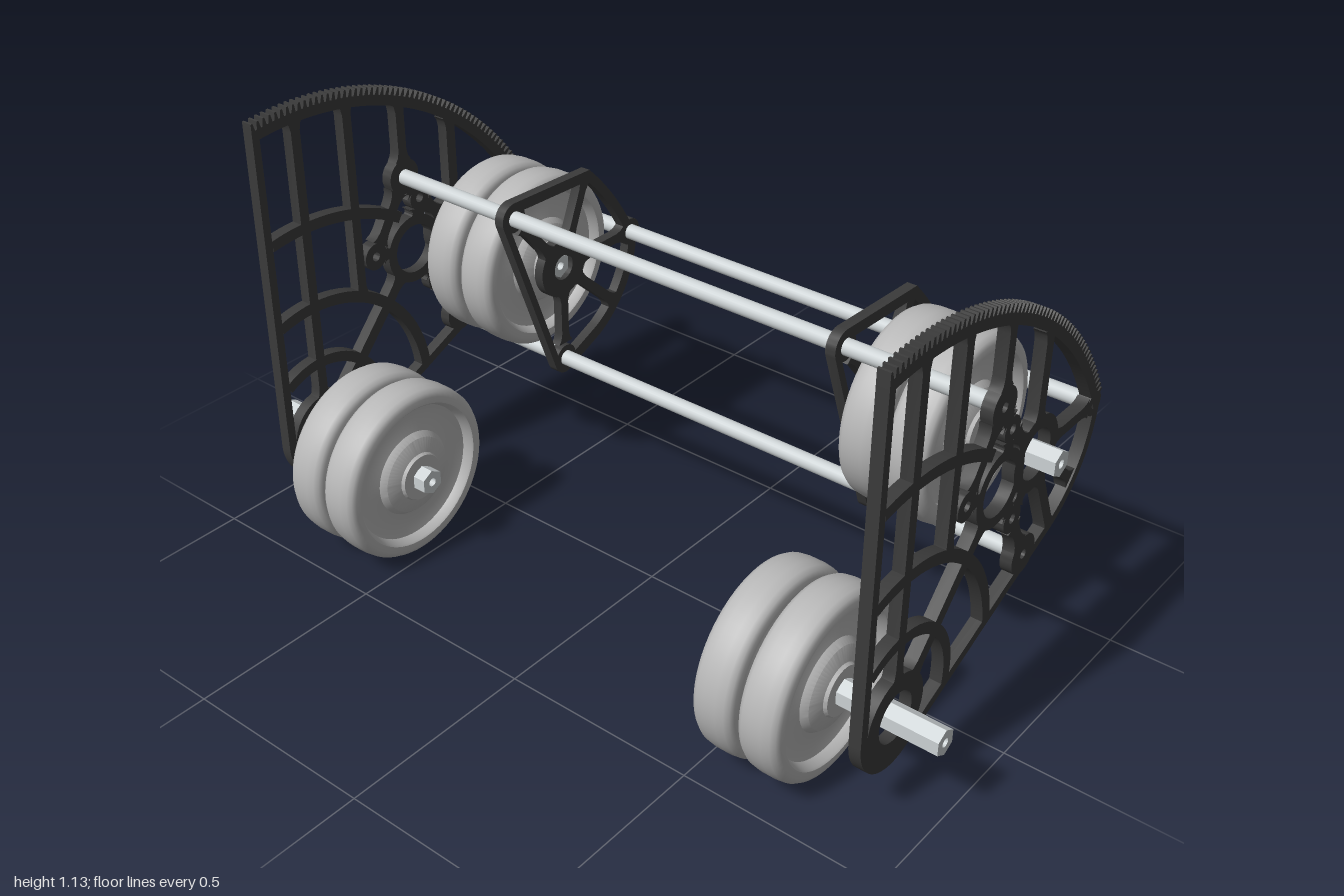
import * as THREE from 'three';
import { mergeGeometries, toCreasedNormals } from 'three/addons/utils/BufferGeometryUtils.js';

const RAD = Math.PI / 180;
const dark = new THREE.MeshStandardMaterial({ color: 0x3b3b3b });
const wheelGrey = new THREE.MeshStandardMaterial({ color: 0xb8b8b8 });
const metal = new THREE.MeshStandardMaterial({ color: 0xccd2d4 });

// Plates are drawn in a side plane: u = towards the back, v = up.
// Circles are [u, v, radius].
const AXLE_F = [-0.28, 0.23, 0.106];
const AXLE_R = [0.22, 0.625, 0.093];
const IDLER = [0.069, 0.615, 0.093];
const ROD_TOP = [0.05, 0.825, 0.048];
const ROD_LOW = [0.22, 0.36, 0.05];
const ROD_BACK = [0.482, 0.625, 0.03];
const BOSS_A = [0.096, 0.75, 0.032];
const BOSS_B = [-0.066, 0.644, 0.036];
const BOSS_C = [0.144, 0.498, 0.036];

const arc = ([u, v], r, a0, a1, n = 24) => Array.from({ length: n + 1 }, (_, i) => {
  const a = (a0 + (a1 - a0) * i / n) * RAD;
  return new THREE.Vector2(u + r * Math.cos(a), v + r * Math.sin(a));
});

// Extrude a side-plane outline to a thin slab centred on x = 0
function slab(points, holes, t) {
  const shape = new THREE.Shape(points);
  for (const h of holes) shape.holes.push(new THREE.Path(h));
  const g = new THREE.ExtrudeGeometry(shape, { depth: t, bevelEnabled: false });
  return g.translate(0, 0, -t / 2).rotateY(Math.PI / 2);
}

const disc = (c, hole, t) => slab(arc(c, c[2], 0, 357, 36), [arc(c, hole, 0, 350, 28)], t);

const band = (c, r0, r1, a0, a1, t) =>
  slab([...arc(c, r1, a0, a1), ...arc(c, r0, a1, a0)], [], t);

// Straight rib between two circles, with flared ends
function rib(a, b, w, t) {
  const p = new THREE.Vector2(a[0], a[1]), q = new THREE.Vector2(b[0], b[1]);
  const d = q.clone().sub(p).normalize(), n = new THREE.Vector2(-d.y, d.x);
  p.addScaledVector(d, (a[2] || 0) * 0.9);
  q.addScaledVector(d, -(b[2] || 0) * 0.9);
  const len = p.distanceTo(q), f = Math.min(0.03, len * 0.4), h = w / 2;
  const at = (s, o) => p.clone().addScaledVector(d, s).addScaledVector(n, o);
  const side = [[0, h + 0.012], [f * 0.4, h + 0.004], [f, h], [len - f, h],
    [len - f * 0.4, h + 0.004], [len, h + 0.012]];
  return slab([...side.map(([s, o]) => at(s, -o)), ...side.reverse().map(([s, o]) => at(s, o))], [], t);
}

const smooth = (parts) => toCreasedNormals(mergeGeometries(parts), 0.5);

// Toothed side plate
function outerPlate() {
  const t = 0.03, teeth = 62, a0 = 27.5, step = (98.3 - a0) / teeth;
  const outline = [...arc(AXLE_F, 0.128, 180, 293.4), ...arc(AXLE_R, 0.287, -66.6, 0)];
  for (let i = 0; i < teeth; i++) {
    for (const [k, r] of [[0, 0.878], [0.3, 0.878], [0.5, 0.897], [0.8, 0.897]])
      outline.push(arc(AXLE_F, r, a0 + (i + k) * step, 0, 1)[0]);
  }
  const opening = [...arc(AXLE_F, 0.105, 180, 293.4), ...arc(AXLE_R, 0.262, -66.6, -3),
    ...arc(AXLE_F, 0.852, 26.7, 97.1, 48)];
  const parts = [slab(outline, [opening], t)];
  // hubs and bosses
  for (const [c, hole] of [[AXLE_F, 0.062], [AXLE_R, 0.061], [IDLER, 0.066], [ROD_TOP, 0.012],
    [ROD_LOW, 0.012], [ROD_BACK, 0.012], [BOSS_A, 0.012], [BOSS_B, 0.012], [BOSS_C, 0.012]])
    parts.push(disc(c, hole, t));
  // arcs concentric with the front axle
  for (const [r0, r1, s, e] of [[0.186, 0.214, -10, 122], [0.344, 0.374, 5.5, 107.5], [0.563, 0.592, 58, 100.5]])
    parts.push(band(AXLE_F, r0, r1, s, e, t));
  // ribs
  for (const [a, b, w] of [
    [AXLE_F, [-0.28, 1.09], 0.027],
    [[-0.121, 0.55], [-0.121, 1.08], 0.027],
    [ROD_TOP, [0.05, 1.03], 0.027],
    [AXLE_R, [0.22, 0.935], 0.03],
    [AXLE_F, IDLER, 0.032],
    [ROD_TOP, BOSS_B, 0.032],
    [ROD_TOP, BOSS_A, 0.04],
    [BOSS_A, IDLER, 0.04],
    [BOSS_A, AXLE_R, 0.03],
    [BOSS_B, IDLER, 0.03],
    [IDLER, BOSS_C, 0.04],
    [AXLE_R, BOSS_C, 0.04],
    [BOSS_C, ROD_LOW, 0.03],
    [IDLER, AXLE_R, 0.08],
    [AXLE_R, ROD_BACK, 0.027],
    [AXLE_R, [0.335, 0.37], 0.03],
    [AXLE_R, [0.41, 0.463], 0.024],
  ]) parts.push(rib(a, b, w, t));
  return smooth(parts);
}

// Spoked frame on the inner side of the rear wheels
function innerPlate() {
  const t = 0.026;
  const outline = [...arc(ROD_TOP, 0.042, 90, 197, 10), ...arc(ROD_LOW, 0.042, 197, 290, 10),
    ...arc(AXLE_R, 0.287, -62, 0), ...arc(AXLE_F, 0.872, 28, 46, 12)];
  const mid = new THREE.Vector2(0.25, 0.625);
  const opening = outline.map((p) => p.clone().sub(mid).multiplyScalar(0.88).add(mid));
  const parts = [slab(outline, [opening], t), disc([0.22, 0.625, 0.08], 0.034, t)];
  for (const c of [ROD_TOP, ROD_LOW, ROD_BACK]) parts.push(disc([c[0], c[1], 0.036], 0.012, t));
  for (const end of [ROD_TOP, ROD_LOW, ROD_BACK, [0.31, 0.84], [0.41, 0.45]])
    parts.push(rib([0.22, 0.625, 0.08], end, 0.026, t));
  return smooth(parts);
}

// Dished wheel with a raised hub, turned around the x axis
function wheelGeometry() {
  const half = [[0.03, 0.064], [0.06, 0.064], [0.064, 0.056], [0.1, 0.045], [0.112, 0.03],
    [0.15, 0.022], [0.18, 0.028], [0.188, 0.048], [0.192, 0.052], [0.208, 0.052], [0.219, 0.047],
    [0.226, 0.036], [0.229, 0.015]];
  const profile = [...half.map(([r, x]) => [r, -x]), ...half.slice().reverse(), half[0].map((v, i) => i ? -v : v)];
  const g = new THREE.LatheGeometry(profile.map(([r, x]) => new THREE.Vector2(r, x)), 64);
  return toCreasedNormals(g.rotateZ(-Math.PI / 2), 0.6);
}

export function createModel() {
  const model = new THREE.Group();
  const add = (name, geometry, material, x, c) => {
    const m = new THREE.Mesh(geometry, material);
    m.name = name;
    m.position.set(x, c ? c[1] : 0, c ? -c[0] : 0);
    model.add(m);
  };
  const outer = outerPlate(), inner = innerPlate(), wheel = wheelGeometry();
  // hollow hexagonal axle
  const axle = (len) => slab(arc([0, 0], 0.033, 30, 330, 5), [arc([0, 0], 0.011, 0, 340, 17)], len);
  const frontAxle = axle(0.53), rearAxle = axle(0.46);

  for (const [side, s] of [['left', 1], ['right', -1]]) {
    add(side + 'OuterPlate', outer, dark, s * 0.865);
    add(side + 'InnerPlate', inner, dark, s * 0.482);
    add(side + 'FrontAxle', frontAxle, metal, s * 0.735, AXLE_F);
    add(side + 'RearAxle', rearAxle, metal, s * 0.71, AXLE_R);
    for (const x of [0.569, 0.687]) {
      add(side + 'FrontWheel', wheel, wheelGrey, s * x, AXLE_F);
      add(side + 'RearWheel', wheel, wheelGrey, s * x, AXLE_R);
    }
  }

  // cross rods joining both sides
  const rod = new THREE.CylinderGeometry(0.02, 0.02, 1.71, 24).rotateZ(Math.PI / 2);
  add('topCrossRod', rod, metal, 0, ROD_TOP);
  add('lowerCrossRod', rod, metal, 0, ROD_LOW);
  add('backCrossRod', rod, metal, 0, ROD_BACK);
  return model;
}
